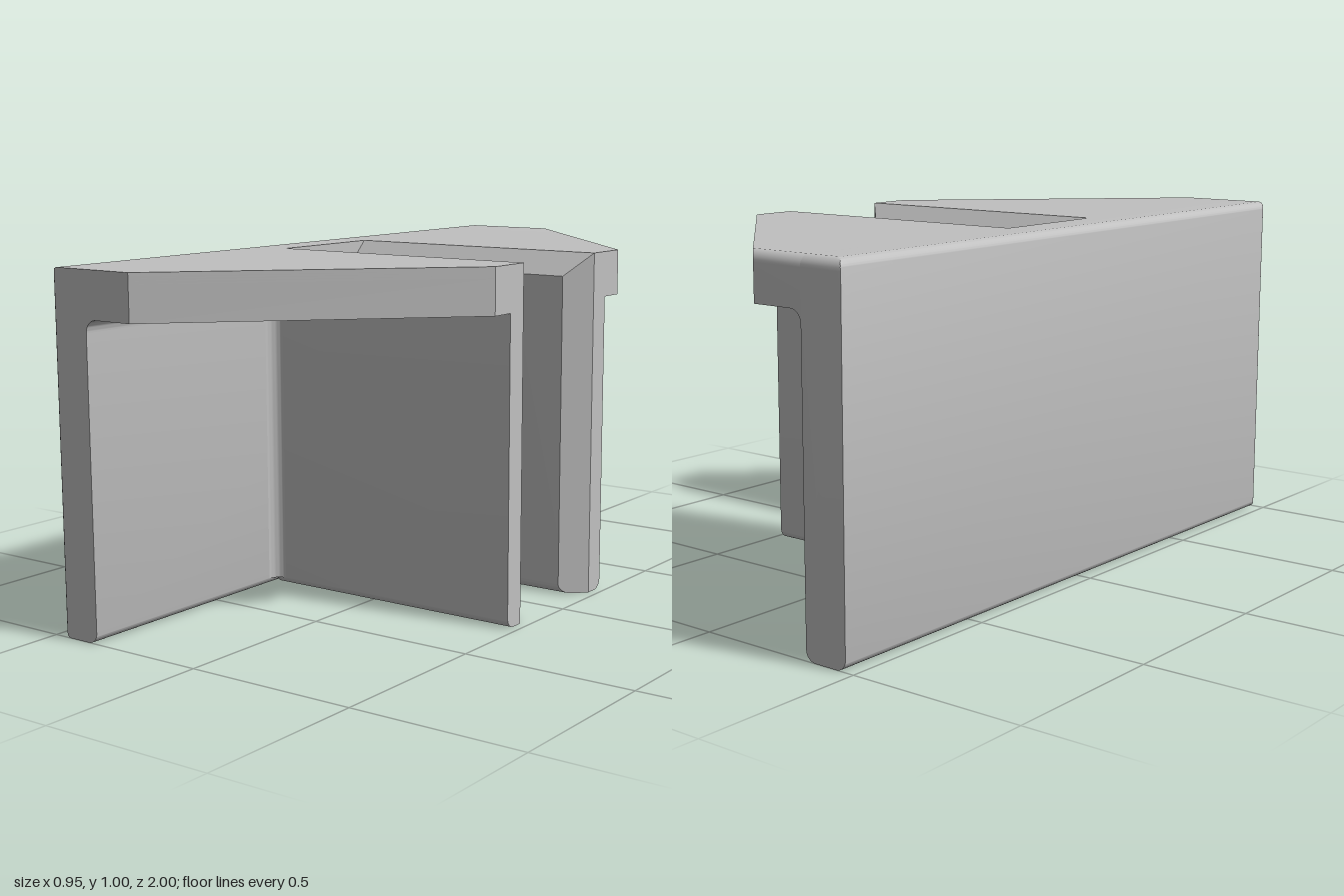
import * as THREE from 'three';
import { toCreasedNormals } from 'three/addons/utils/BufferGeometryUtils.js';

const BACK = -0.475, INNER = -0.345, FRONT = 0.475; // x limits of plate and webs
const R = 0.03, FILLET = 0.035, ARC = 6;

export function createModel() {
  const model = new THREE.Group();
  const grey = new THREE.MeshStandardMaterial({ color: 0xc0c0c0 });
  grey.name = 'plain grey';

  const add = (name, geometry) => {
    const mesh = new THREE.Mesh(toCreasedNormals(geometry, 0.6), grey);
    mesh.name = name;
    model.add(mesh);
  };
  const extrude = (shape, depth, steps = 1) =>
    new THREE.ExtrudeGeometry(shape, { depth, steps, bevelEnabled: false, curveSegments: 8 });

  // Moves every vertex by a rule
  const reshape = (geometry, rule) => {
    const p = geometry.attributes.position;
    const v = new THREE.Vector3();
    for (let i = 0; i < p.count; i++) {
      rule(v.fromBufferAttribute(p, i));
      p.setXYZ(i, v.x, v.y, v.z);
    }
    return geometry;
  };

  // Mirrors across z and restores the corner order
  const mirrorZ = (geometry) => {
    const g = geometry.index ? geometry.toNonIndexed() : geometry.clone();
    g.scale(1, 1, -1);
    const p = g.attributes.position;
    const a = new THREE.Vector3(), b = new THREE.Vector3();
    for (let i = 0; i < p.count; i += 3) {
      a.fromBufferAttribute(p, i + 1);
      b.fromBufferAttribute(p, i + 2);
      p.setXYZ(i + 1, b.x, b.y, b.z);
      p.setXYZ(i + 2, a.x, a.y, a.z);
    }
    return g;
  };
  const addPair = (name, geometry) => {
    add(name + 'Back', geometry);
    add(name + 'Front', mirrorZ(geometry));
  };
  const rise = (t) => R * Math.sin((t * Math.PI) / 2);
  const inset = (t) => R * (1 - Math.cos((t * Math.PI) / 2));

  // Upright plate with rounded edges
  const plate = new THREE.Shape();
  plate.moveTo(INNER, 1);
  plate.lineTo(BACK + R, 1);
  plate.absarc(BACK + R, 1 - R, R, Math.PI / 2, Math.PI, false);
  plate.absarc(BACK + R, R, R, Math.PI, Math.PI * 1.5, false);
  plate.absarc(INNER - R, R, R, -Math.PI / 2, 0, false);
  const slices = 2 * ARC + 1;
  add('uprightPlate', reshape(extrude(plate, 1, slices), (v) => {
    const k = Math.round(v.z * slices);
    if (k <= ARC) {
      const t = (ARC - k) / ARC;
      v.z = -(1 - R + rise(t));
      v.y = Math.min(v.y, 1 - inset(t));
    } else {
      const t = (k - ARC - 1) / ARC;
      v.z = 1 - R + rise(t);
      v.x = Math.max(v.x, BACK + inset(t));
    }
  }));

  // Tapered top wings; the back one has a rounded end
  const wing = new THREE.Shape([
    [INNER, 0.19], [FRONT, 0.19], [FRONT, 0.33], [-0.19, 1], [INNER, 1],
  ].map(([x, z]) => new THREE.Vector2(x, z)));
  const makeWing = (rounded) =>
    reshape(extrude(wing, 1, ARC + 1).rotateX(-Math.PI / 2), (v) => {
      const k = Math.round(v.y * (ARC + 1));
      const t = (k - 1) / ARC;
      v.y = k === 0 ? 0.87 : 1 - R + rise(t);
      if (rounded && k > 0 && v.z < -0.9) {
        v.z += inset(t);
        if (v.x > -0.25) v.x += inset(t);
      }
    });
  add('topWingBack', makeWing(true));
  add('topWingFront', mirrorZ(makeWing(false)));

  // Webs either side of the slot: outer half, rounded below
  const outer = new THREE.Shape();
  outer.moveTo(0.19, 0);
  outer.lineTo(0.255 - R, 0);
  outer.absarc(0.255 - R, R, R, -Math.PI / 2, 0, false);
  outer.lineTo(0.255, 0.9);
  outer.lineTo(0.19, 0.9);
  addPair('webOuter', extrude(outer, FRONT - INNER)
    .rotateY(Math.PI / 2).translate(INNER, 0, 0));

  // Inner half, chamfered at the top and at the slot mouth
  const inner = new THREE.Shape();
  inner.moveTo(0.19, 1);
  inner.lineTo(0.125, 0.935);
  inner.lineTo(0.125, R);
  inner.absarc(0.125 + R, R, R, Math.PI, Math.PI * 1.5, false);
  inner.lineTo(0.19, 0);
  addPair('webInner', reshape(
    extrude(inner, FRONT - INNER).rotateY(Math.PI / 2).translate(INNER, 0, 0),
    (v) => { if (v.x > 0) v.x = FRONT - (0.19 + v.z); }));

  // Concave fillets in the inside corners
  const cove = new THREE.Shape();
  cove.moveTo(0, 0);
  cove.lineTo(FILLET, 0);
  cove.absarc(FILLET, FILLET, FILLET, -Math.PI / 2, -Math.PI, true);
  addPair('webFillet', extrude(cove, 0.85)
    .rotateX(-Math.PI / 2).translate(INNER, 0.02, -0.255));
  addPair('wingFillet', extrude(cove, 0.745)
    .rotateZ(-Math.PI / 2).translate(INNER, 0.87, -1));

  return model;
}
